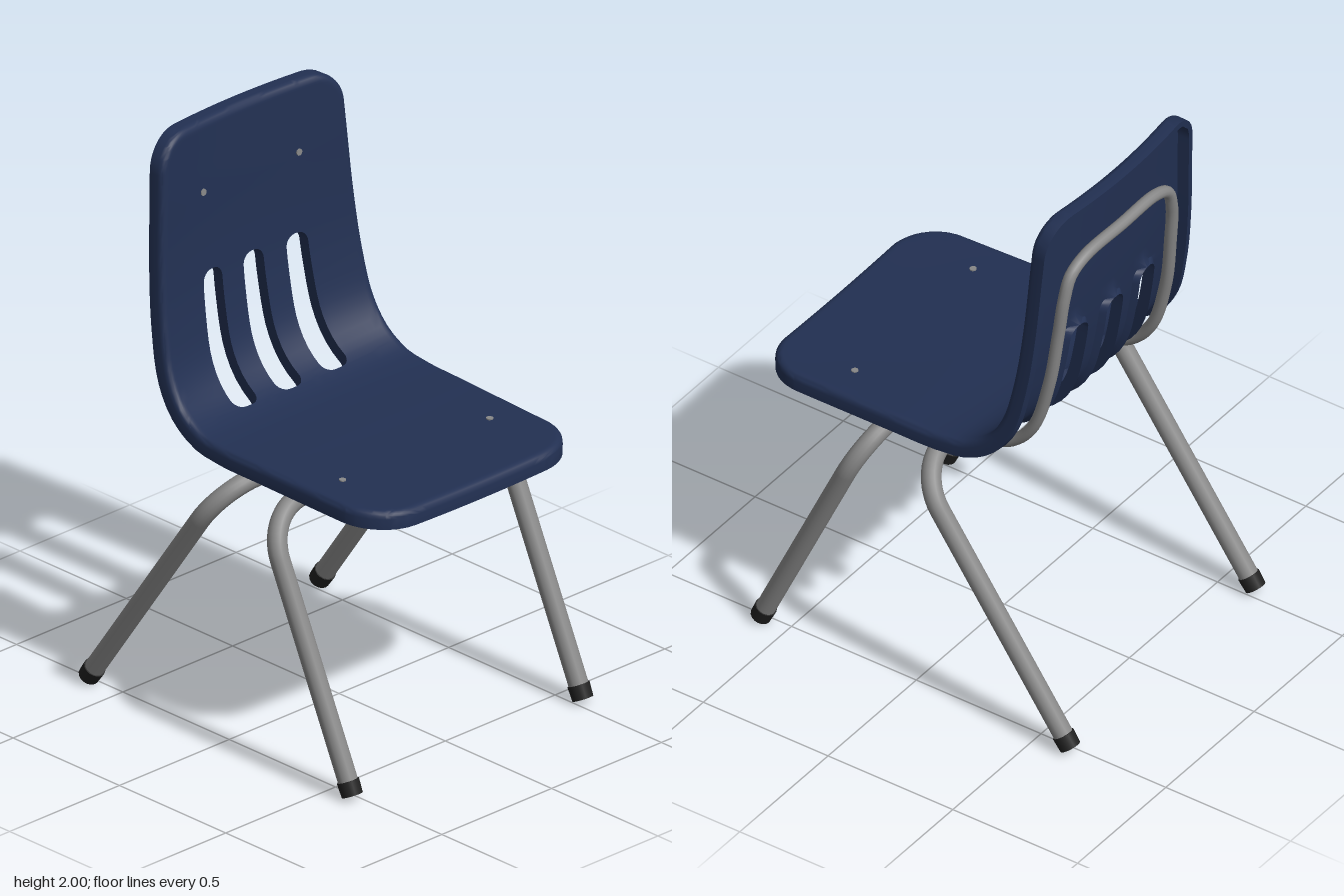
import * as THREE from 'three';
import { toCreasedNormals } from 'three/addons/utils/BufferGeometryUtils.js';

const V = (x, y, z) => new THREE.Vector3(x, y, z);

// Centre line of the shell, from the front of the seat to the top of the back
const profile = new THREE.CatmullRomCurve3([
  [0.67, 1.0], [0.4, 1.005], [0.1, 1.012], [-0.1, 1.018], [-0.2, 1.035], [-0.29, 1.09],
  [-0.35, 1.18], [-0.39, 1.35], [-0.412, 1.55], [-0.425, 1.8], [-0.435, 2.0],
].map(([z, y]) => V(0, y, z)));
profile.arcLengthDivisions = 800;
const L = profile.getLength();

// Point and normal of the shell face, gently dished across its width
function surface(x, s) {
  const u = THREE.MathUtils.clamp(s / L, 0, 1);
  const p = profile.getPointAt(u), t = profile.getTangentAt(u);
  const n = V(0, -t.z, t.y);
  p.addScaledVector(n, (0.01 + 0.03 * Math.max(0, n.z)) * (x / 0.45) ** 2);
  p.x = x;
  return { p, n };
}

function findLength(test) {
  let s = 0;
  while (s < L && !test(profile.getPointAt(s / L))) s += 0.004;
  return s;
}

function shellGeometry() {
  const slotA = findLength(p => p.z < -0.21), slotB = findLength(p => p.y > 1.47);
  const rim = 0.025, lip = 0.062, skin = 0.022, slotLip = 0.042;

  // Rows, closer together at the ends and around the slot ends
  const ends = [0, 0.003, 0.008, 0.015, 0.025, 0.034, 0.05, 0.07, 0.095, 0.125, 0.16];
  const slotEnds = [0, 0.002, 0.006, 0.013, 0.022, 0.032, 0.042];
  let rows = [];
  for (let i = 1; i < 50; i++) rows.push(L * i / 50);
  const keep = [...ends, ...ends.map(e => L - e),
    ...slotEnds.map(e => slotA + e), ...slotEnds.map(e => slotB - e)];
  rows = rows.filter(r => keep.every(k => Math.abs(k - r) > 0.004)).concat(keep).sort((a, b) => a - b);

  const top = [], bottom = [], inside = [], slotCols = new Set();
  let cols = 0;
  rows.forEach(s => {
    const c = profile.getPointAt(s / L);
    const W = 0.48 - 0.07 * Math.max(0, c.y - 1.02) - 0.012 * Math.max(0, c.z / 0.67);
    const ds = Math.min(s, L - s), r = s < L / 2 ? 0.17 : 0.12;
    const w = ds < r ? W - r + Math.sqrt(r * r - (r - ds) ** 2) : W;
    const k = THREE.MathUtils.clamp((s - slotA) / (slotB - slotA), 0, 1);
    const e = Math.max(0, Math.min(s - slotA, slotB - s)), sr = 0.04;
    const h = 0.055 - 0.01 * k - sr + Math.sqrt(sr * sr - (sr - Math.min(e, sr)) ** 2);
    const sc = 0.205 - 0.014 * k;
    const cut = s > slotA - 1e-6 && s < slotB + 1e-6;
    inside.push(cut);

    // Columns: rim, outer panel, and two ribs between the three slots
    const xs = [], atSlot = [];
    const add = (x, edge) => { xs.push(x); atSlot.push(edge); };
    const outer = [0, 0.003, 0.008, 0.015, 0.025, 0.034].map(o => -w + o);
    outer.forEach(x => add(x, false));
    const a = outer[5], b = -sc - h;
    for (let i = 1; i <= 7; i++) add(a + (b - a) * i / 7, i === 7);
    slotCols.add(xs.length - 1);
    for (let i = 0; i <= 6; i++) add(-sc + h + (sc - 2 * h) * i / 6, i === 0 || i === 6);
    slotCols.add(xs.length - 1);
    const half = xs.length;
    for (let i = half - 1; i >= 0; i--) add(-xs[i], atSlot[i]);
    slotCols.add(xs.length - 1 - 13);
    cols = xs.length;

    xs.forEach((x, j) => {
      const dx = W - Math.abs(x);
      const d = Math.max(0, dx < r && ds < r ? r - Math.hypot(r - dx, r - ds) : Math.min(dx, ds));
      const drop = d < rim ? rim - Math.sqrt(rim * rim - (rim - d) ** 2) : 0;
      const depth = d < 0.028 ? lip : cut && atSlot[j] ? slotLip : skin;
      const { p, n } = surface(x, s);
      top.push(...p.clone().addScaledVector(n, -drop).toArray());
      bottom.push(...p.addScaledVector(n, -depth).toArray());
    });
  });

  const N = top.length / 3, faces = [];
  for (let i = 0; i < rows.length - 1; i++) {
    for (let j = 0; j < cols - 1; j++) {
      if (slotCols.has(j) && inside[i] && inside[i + 1]) continue;
      const a = i * cols + j, b = a + 1, c = b + cols, d = a + cols;
      faces.push([a, b, c], [a, c, d]);
    }
  }
  // Underside, and walls along every open edge
  const edges = new Set(), index = [];
  const eachEdge = fn => faces.forEach(f => f.forEach((a, i) => fn(a, f[(i + 1) % 3])));
  eachEdge((a, b) => edges.add(a * N + b));
  faces.forEach(([a, b, c]) => index.push(a, b, c, a + N, c + N, b + N));
  eachEdge((a, b) => {
    if (!edges.has(b * N + a)) index.push(b, a, a + N, b, a + N, b + N);
  });
  const g = new THREE.BufferGeometry();
  g.setAttribute('position', new THREE.Float32BufferAttribute([...top, ...bottom], 3));
  g.setIndex(index);
  return toCreasedNormals(g, 0.8);
}

// Straight runs joined by rounded corners
function roundedPath(pts, r) {
  const path = new THREE.CurvePath();
  let from = pts[0];
  for (let i = 1; i < pts.length - 1; i++) {
    const p = pts[i];
    const a = p.clone().add(pts[i - 1].clone().sub(p).setLength(r));
    const b = p.clone().add(pts[i + 1].clone().sub(p).setLength(r));
    path.add(new THREE.LineCurve3(from, a));
    const q = 0.56; // circular-arc handles
    path.add(new THREE.CubicBezierCurve3(a, a.clone().lerp(p, q), b.clone().lerp(p, q), b));
    from = b;
  }
  path.add(new THREE.LineCurve3(from, pts[pts.length - 1]));
  return path;
}

export function createModel() {
  const group = new THREE.Group();
  const mat = (name, color) => Object.assign(new THREE.MeshStandardMaterial({ color }), { name });
  const navy = mat('navy plastic', 0x223052);
  const steel = mat('grey steel', 0x888888);
  const rubber = mat('black rubber', 0x202020);
  const up = V(0, 1, 0);
  const add = (name, geometry, material) => {
    const m = new THREE.Mesh(geometry, material);
    m.name = name;
    group.add(m);
    return m;
  };

  add('seatShell', shellGeometry(), navy);

  // Two bent leg frames with rubber feet
  for (const [name, topZ, footZ, footY] of [['front', 0.195, 0.605, 0.016], ['rear', -0.015, -0.635, 0.022]]) {
    const foot = sx => V(sx * 0.525, footY, footZ);
    const knee = sx => V(sx * 0.525, 0.905, topZ);
    const dir = knee(1).sub(foot(1)).normalize();
    const start = sx => foot(sx).addScaledVector(dir, 0.03);
    const path = roundedPath([start(-1), knee(-1), knee(1), start(1)], 0.17);
    add(name + 'LegFrame', new THREE.TubeGeometry(path, 140, 0.034, 16), steel);
    for (const sx of [-1, 1]) {
      const cap = add(name + 'Foot', new THREE.CylinderGeometry(0.038, 0.036, 0.05, 16), rubber);
      cap.position.copy(foot(sx)).addScaledVector(dir, 0.025);
      cap.quaternion.setFromUnitVectors(up, dir);
    }
  }

  // Support hoop running under the seat and up behind the back
  const side = [
    [0.335, 0.952, 0.43], [0.335, 0.962, 0.3], [0.335, 0.965, 0.1], [0.335, 0.968, -0.13],
    [0.335, 1.0, -0.26], [0.335, 1.1, -0.352], [0.33, 1.3, -0.413], [0.318, 1.5, -0.44],
    [0.305, 1.65, -0.455], [0.275, 1.73, -0.46], [0.2, 1.768, -0.464],
  ];
  const hoop = [...side.map(p => V(...p)), V(0, 1.777, -0.47),
    ...side.map(([x, y, z]) => V(-x, y, z)).reverse()];
  add('backSupportHoop', new THREE.TubeGeometry(new THREE.CatmullRomCurve3(hoop), 160, 0.021, 12), steel);
  for (const sx of [-1, 1]) {
    add('hoopEnd', new THREE.SphereGeometry(0.021, 12, 8), steel).position.set(sx * 0.335, 0.952, 0.43);
    // Screw heads on the seat and back
    for (const [x, s] of [[0.335, 0.307], [0.218, L - 0.25]]) {
      const { p, n } = surface(sx * x, s);
      const screw = add('screwHead', new THREE.CylinderGeometry(0.012, 0.012, 0.008, 12), steel);
      screw.position.copy(p);
      screw.quaternion.setFromUnitVectors(up, n);
    }
  }
  return group;
}
